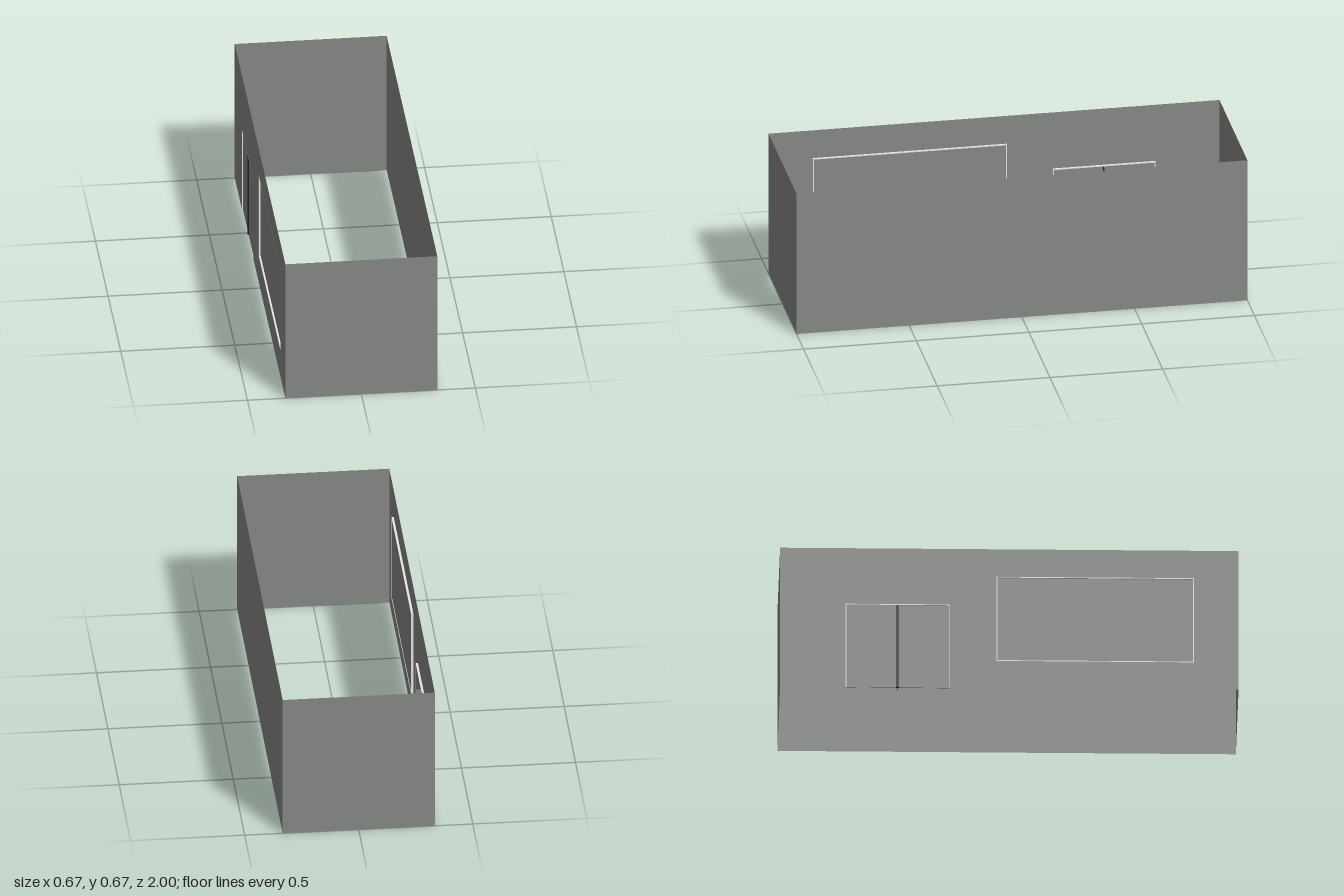
import * as THREE from 'three';

const W = 0.3333, H = 0.667, L = 1;
const WINDOW = { z0: -0.055, z1: 0.805, y0: 0.13, y1: 0.535 };
const DOOR = { z0: -0.715, z1: -0.26, y0: 0, y1: 0.4 };

function material(name, color) {
  const m = new THREE.MeshStandardMaterial({ color, side: THREE.DoubleSide });
  m.name = name;
  return m;
}

function polygon(points, Type = THREE.Shape) {
  return new Type(points.map(([z, y]) => new THREE.Vector2(z, y)));
}

function rect({ z0, z1, y0, y1 }, Type) {
  return polygon([[z0, y0], [z1, y0], [z1, y1], [z0, y1]], Type);
}

export function createModel() {
  const grey = material('wall grey', 0x878a86);
  const white = material('frame white', 0xeeeeec);
  const black = material('seal black', 0x1c1c1c);
  const group = new THREE.Group();
  group.name = 'room';

  function add(name, geometry, mat, x, y, z, turn = 0) {
    const mesh = new THREE.Mesh(geometry, mat);
    mesh.name = name;
    mesh.position.set(x, y, z);
    mesh.rotation.y = turn;
    group.add(mesh);
  }
  // shapes drawn as (z, y), standing in a plane of constant x
  const side = (name, geometry, mat, x) => add(name, geometry, mat, x, 0, 0, -Math.PI / 2);
  const extrude = (shape, depth) => new THREE.ExtrudeGeometry(shape, { depth, bevelEnabled: false });

  // plain walls, open above and below
  add('frontWall', new THREE.PlaneGeometry(2 * W, H), grey, 0, H / 2, L);
  add('backWall', new THREE.PlaneGeometry(2 * W, H), grey, 0, H / 2, -L, Math.PI);
  add('leftWall', new THREE.PlaneGeometry(2 * L, H), grey, W, H / 2, 0, Math.PI / 2);

  // wall with a doorway notch and a window hole
  const { z0, z1, y1 } = DOOR;
  const wall = polygon([
    [-L, 0], [z0, 0], [z0, y1], [z1, y1], [z1, 0], [L, 0], [L, H], [-L, H],
  ]);
  wall.holes.push(rect(WINDOW, THREE.Path));
  side('rightWall', new THREE.ShapeGeometry(wall), grey, -W);

  // thin white frames lining the openings and standing into the room
  const depth = 0.01, t = 0.004;
  const windowFrame = rect(WINDOW);
  const glazed = {
    z0: WINDOW.z0 + t, z1: WINDOW.z1 - t, y0: WINDOW.y0 + t, y1: WINDOW.y1 - t,
  };
  windowFrame.holes.push(rect(glazed, THREE.Path));
  side('windowFrame', extrude(windowFrame, depth), white, -W + depth);
  const doorFrame = polygon([
    [z0, 0], [z0 + t, 0], [z0 + t, y1 - t], [z1 - t, y1 - t],
    [z1 - t, 0], [z1, 0], [z1, y1], [z0, y1],
  ]);
  side('doorFrame', extrude(doorFrame, depth), white, -W + depth);

  // window pane and two door leaves, set back from the outside
  side('windowPane', new THREE.ShapeGeometry(rect(glazed)), grey, -W + depth - 0.002);
  const mid = (z0 + z1) / 2, gap = 0.006;
  for (const [name, a, b] of [
    ['backDoorLeaf', z0 + t, mid - gap], ['frontDoorLeaf', mid + gap, z1 - t],
  ]) {
    side(name, extrude(rect({ z0: a, z1: b, y0: 0, y1: y1 - t }), 0.004), grey, -W + depth - 0.002);
  }

  // dark seal between the leaves, with a thin grey fin standing into the room
  const h = y1 - t;
  add('doorSeal', new THREE.BoxGeometry(depth, h, 2 * gap), black, -W + depth / 2, h / 2, mid);
  add('doorFin', new THREE.BoxGeometry(0.021, h, 0.004), grey, -W + depth + 0.0105, h / 2, mid);
  return group;
}
